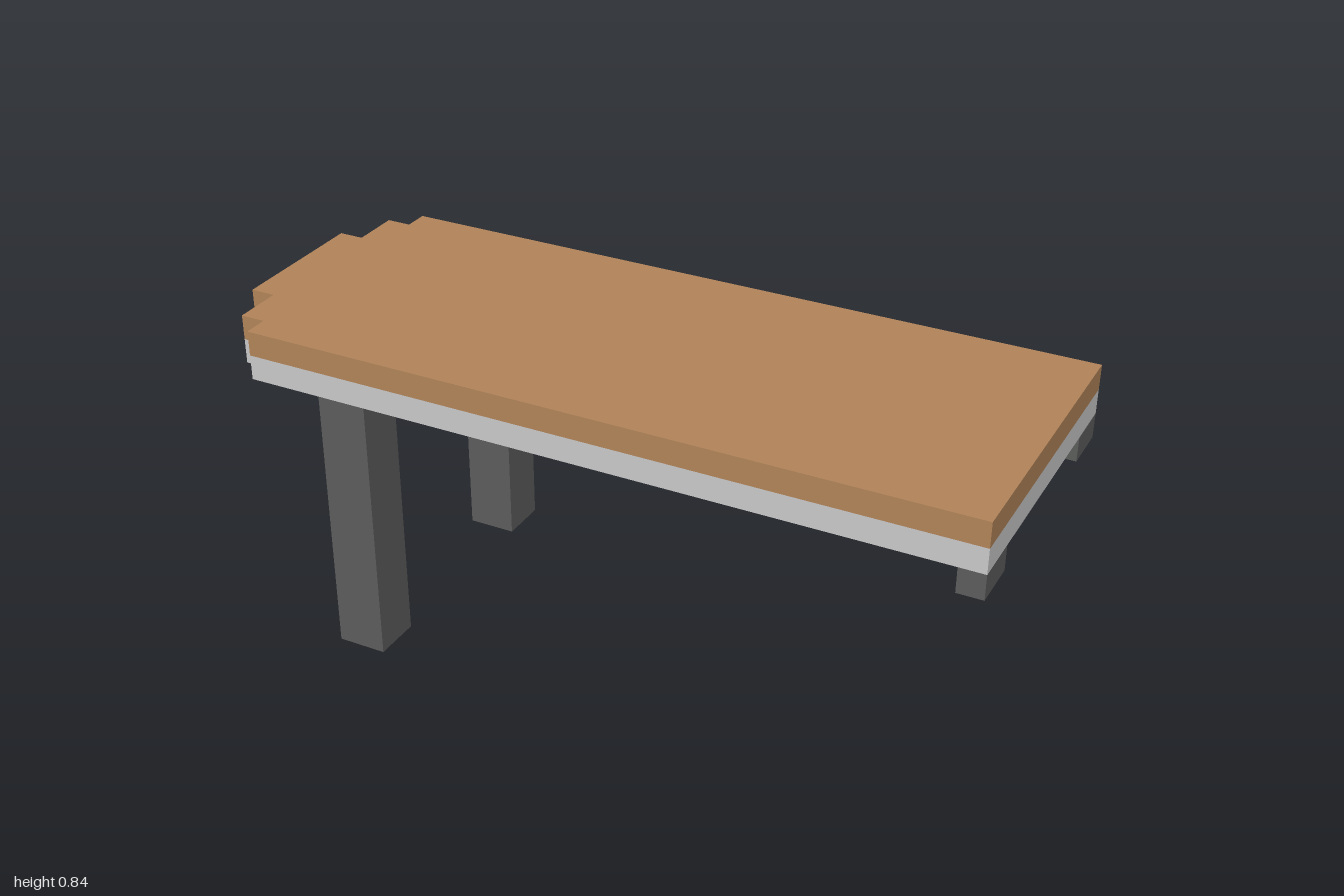
import * as THREE from 'three';

const U = 2 / 31; // block unit: the table is 31 blocks long, 12 wide, 13 high

export function createModel() {
  const table = new THREE.Group();
  table.name = 'table';
  const wood = new THREE.MeshStandardMaterial({ color: 0xb3855a });
  const grey = new THREE.MeshStandardMaterial({ color: 0xcccccc });
  const dark = new THREE.MeshStandardMaterial({ color: 0x5c5e5c });

  // Slab outline with one end stepped in at its corners (x from the stepped end, z)
  const side = [[0, 3], [1, 3], [1, 5], [2, 5], [2, 6], [31, 6]];
  const outline = [...side, ...side.map(([x, z]) => [x, -z]).reverse()];
  const shape = new THREE.Shape(outline.map(([x, z]) => new THREE.Vector2(x * U - 1, z * U)));

  // One-block-thick layers of the top
  const addSlab = (name, y, material) => {
    const geometry = new THREE.ExtrudeGeometry(shape, { depth: U, bevelEnabled: false });
    geometry.rotateX(-Math.PI / 2);
    const mesh = new THREE.Mesh(geometry, material);
    mesh.name = name;
    mesh.position.y = y * U;
    table.add(mesh);
  };
  addSlab('underLayer', 11, grey);
  addSlab('woodenTop', 12, wood);

  // Supports, given by their block ranges along x and y
  const addSupport = (name, x0, x1, y0, y1, s) => {
    const mesh = new THREE.Mesh(new THREE.BoxGeometry((x1 - x0) * U, (y1 - y0) * U, 2 * U), dark);
    mesh.name = name;
    mesh.position.set((x0 + x1) / 2 * U - 1, (y0 + y1) / 2 * U, s * 5 * U);
    table.add(mesh);
  };
  for (const [label, s] of [['front', 1], ['back', -1]]) {
    addSupport(label + 'Leg', 5, 7, 0, 11, s);
    addSupport(label + 'Bracket', 30, 31, 10, 11, s);
  }
  return table;
}
